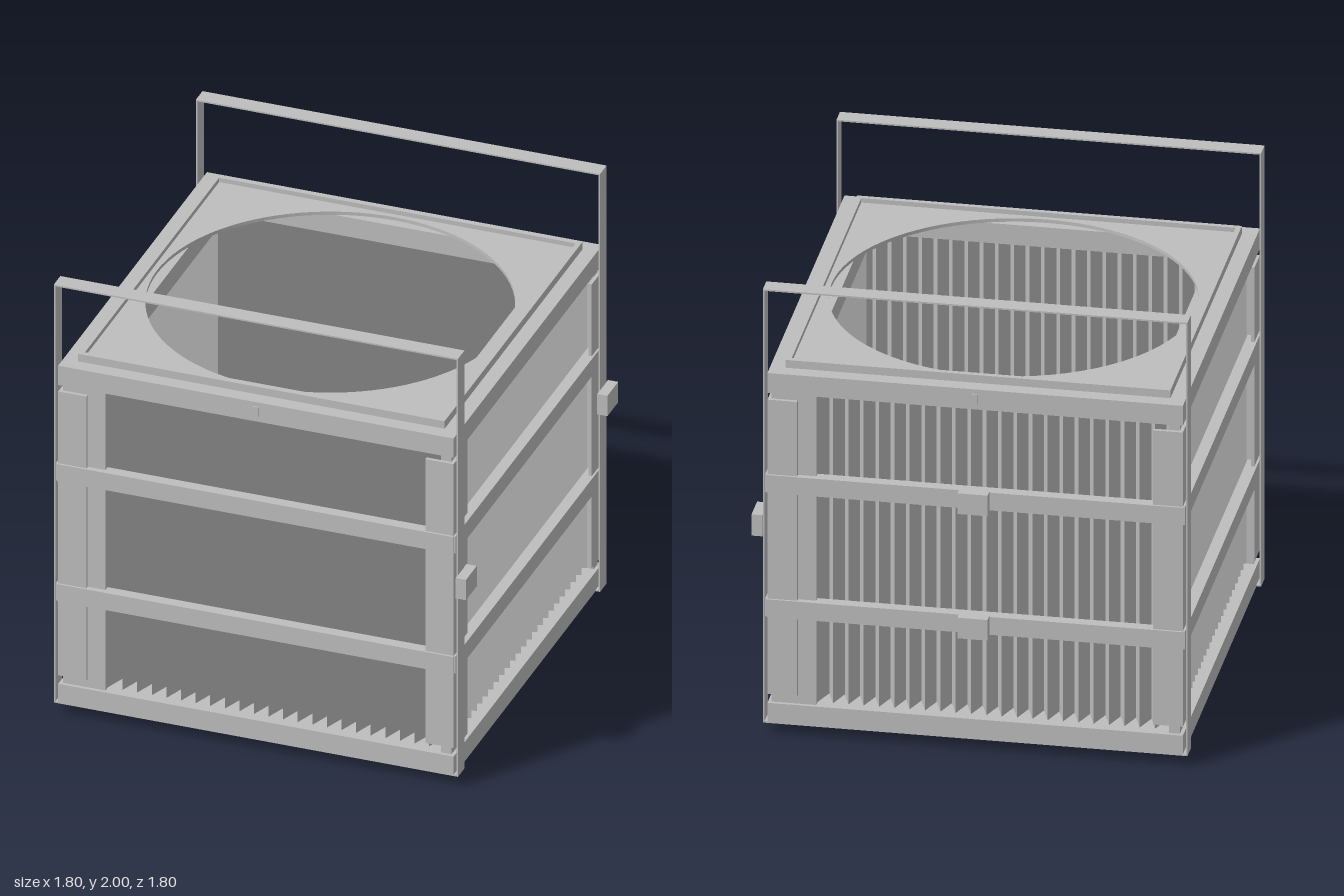
import * as THREE from 'three';

const steel = new THREE.MeshStandardMaterial({ color: 0xbebebe, side: THREE.DoubleSide });
steel.name = 'grey steel';

function add(parent, name, geometry) {
  const mesh = new THREE.Mesh(geometry, steel);
  mesh.name = name;
  parent.add(mesh);
  return mesh;
}

// Box given by its minimum and maximum corners
function box(parent, name, x0, x1, y0, y1, z0, z1) {
  const mesh = add(parent, name, new THREE.BoxGeometry(x1 - x0, y1 - y0, z1 - z0));
  mesh.position.set((x0 + x1) / 2, (y0 + y1) / 2, (z0 + z1) / 2);
  return mesh;
}

function rect(T, x0, x1, y0, y1) {
  const p = new T();
  p.moveTo(x0, y0);
  p.lineTo(x1, y0);
  p.lineTo(x1, y1);
  p.lineTo(x0, y1);
  p.closePath();
  return p;
}

// Horizontal square plate with an opening, from y0 to y1
function openPlate(parent, name, half, hole, y0, y1) {
  const shape = rect(THREE.Shape, -half, half, -half, half);
  shape.holes.push(hole);
  const g = new THREE.ExtrudeGeometry(shape, { depth: y1 - y0, bevelEnabled: false, curveSegments: 48 });
  g.rotateX(-Math.PI / 2);
  g.translate(0, y0, 0);
  return add(parent, name, g);
}

// Upright sheet folded in a zigzag between two depths
function foldedSheet(x0, x1, y0, y1, inner, outer, pitch) {
  const folds = Math.round((x1 - x0) / pitch) * 2;
  const pos = [];
  const point = i => [x0 + (x1 - x0) * i / folds, i % 2 ? inner : outer];
  for (let i = 0; i < folds; i++) {
    const [ax, az] = point(i), [bx, bz] = point(i + 1);
    pos.push(ax, y0, az, bx, y0, bz, bx, y1, bz);
    pos.push(ax, y0, az, bx, y1, bz, ax, y1, az);
  }
  const g = new THREE.BufferGeometry();
  g.setAttribute('position', new THREE.Float32BufferAttribute(pos, 3));
  g.computeVertexNormals();
  return g;
}

// One side wall, facing +z; the four walls are turned copies
function wall() {
  const g = new THREE.Group();
  add(g, 'pleatedPanel', foldedSheet(-0.66, 0.8, 0.1, 1.56, 0.725, 0.815, 0.0635));
  box(g, 'cornerBoard', -0.845, -0.66, 0.14, 1.535, 0.8, 0.845);
  box(g, 'cornerPlateRight', -0.86, -0.737, 0.18, 1.505, 0.845, 0.86);
  box(g, 'cornerPlateLeft', 0.737, 0.86, 0.18, 1.505, 0.845, 0.86);
  for (const y of [0.53, 1.09]) box(g, 'band', -0.862, 0.862, y, y + 0.08, 0.82, 0.869);
  return g;
}

export function createModel() {
  const model = new THREE.Group();
  model.name = 'slattedCrate';
  const body = new THREE.Group();
  body.name = 'crateBody';
  body.position.set(-0.023, 0, 0.016);
  model.add(body);

  for (let i = 0; i < 4; i++) {
    const w = wall();
    w.name = ['frontWall', 'leftWall', 'backWall', 'rightWall'][i];
    w.rotation.y = i * Math.PI / 2;
    body.add(w);
  }

  // Rims and floor
  const inner = () => rect(THREE.Path, -0.71, 0.71, -0.71, 0.71);
  openPlate(body, 'bottomRim', 0.86, inner(), 0.05, 0.14);
  openPlate(body, 'topRim', 0.86, inner(), 1.535, 1.625);
  box(body, 'floor', -0.72, 0.72, 0.05, 0.07, -0.72, 0.72);

  // Lid with round opening and raised lip
  const round = new THREE.Path();
  round.absarc(0, 0, 0.753, 0, Math.PI * 2, true);
  openPlate(body, 'lid', 0.78, round, 1.625, 1.64);
  openPlate(body, 'lidLip', 0.797, rect(THREE.Path, -0.775, 0.775, -0.775, 0.775), 1.625, 1.66);

  // Carrying straps running around the crate
  for (const [name, z] of [['frontHandle', 0.784], ['backHandle', -0.859]]) {
    const strap = rect(THREE.Shape, -0.879, 0.879, 0.049, 2);
    strap.holes.push(rect(THREE.Path, -0.872, 0.872, 0.056, 1.993));
    const g = new THREE.ExtrudeGeometry(strap, { depth: 0.076, bevelEnabled: false });
    add(body, name, g).position.z = z;
  }

  // Latch tabs on the rim
  for (const s of [1, -1]) {
    const z = 0.862 * s;
    box(body, 'rimTab', -0.012, 0.012, 1.56, 1.605, z - 0.004, z + 0.004);
  }

  // Clasps on the left straps and the back bands
  for (const z of [0.775, -0.86]) box(model, 'sideClasp', 0.855, 0.9, 0.895, 0.99, z, z + 0.125);
  for (const y of [0.525, 1.085]) box(model, 'backClasp', -0.085, 0.04, y, y + 0.093, -0.9, -0.852);

  // Feet with bolt holes
  for (const x of [-0.628, 0.628]) for (const z of [-0.628, 0.628]) {
    const bolt = new THREE.Path();
    bolt.absarc(0, 0, 0.02, 0, Math.PI * 2, true);
    openPlate(body, 'foot', 0.077, bolt, 0, 0.05).position.set(x, 0, z);
  }
  return model;
}
